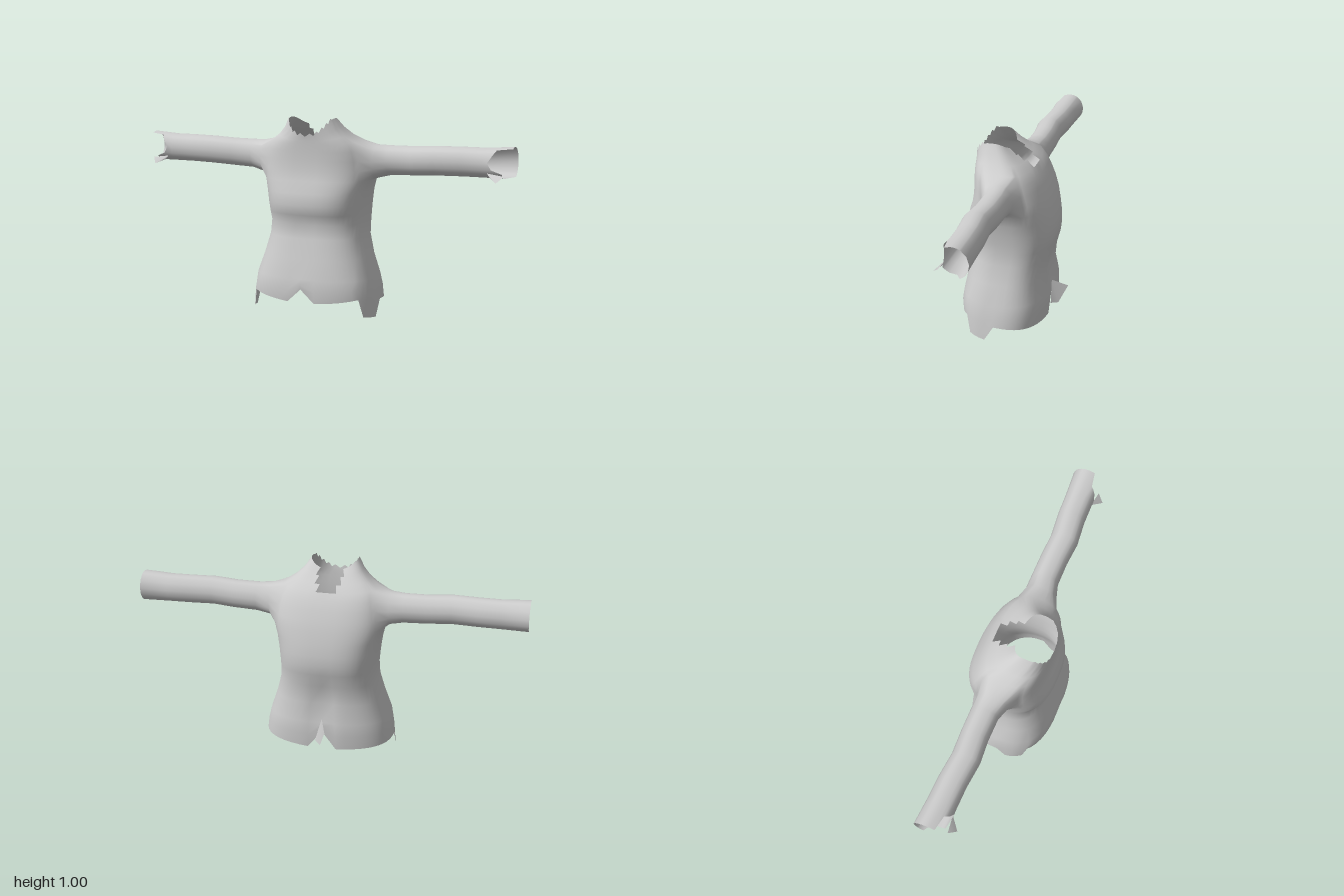
import * as THREE from 'three';

const COLS = 48, EXP = 0.75;

// torso rings, hem to neck: y front, y side, y back, half width, z front, z side, z back
const RINGS = [
  [0.07, 0.07, 0.07, 0.338, 0.258, 0.03, -0.19],
  [0.14, 0.14, 0.14, 0.33, 0.263, 0.03, -0.195],
  [0.2, 0.2, 0.2, 0.315, 0.255, 0.03, -0.195],
  [0.3, 0.3, 0.3, 0.28, 0.235, 0.02, -0.178],
  [0.4, 0.4, 0.4, 0.253, 0.21, 0.01, -0.19],
  [0.47, 0.47, 0.47, 0.25, 0.2, 0, -0.209],
  [0.52, 0.52, 0.52, 0.253, 0.224, 0, -0.215],
  [0.57, 0.57, 0.57, 0.258, 0.235, 0, -0.213],
  [0.63, 0.63, 0.63, 0.268, 0.228, 0, -0.203],
  [0.69, 0.69, 0.69, 0.285, 0.207, 0, -0.188],
  [0.74, 0.74, 0.74, 0.283, 0.198, 0, -0.172],
  [0.79, 0.79, 0.79, 0.277, 0.195, 0, -0.15],
  [0.835, 0.84, 0.83, 0.265, 0.195, 0.01, -0.13],
  [0.87, 0.885, 0.87, 0.24, 0.196, 0.015, -0.1],
  [0.89, 0.915, 0.9, 0.19, 0.197, 0.05, -0.06],
  [0.905, 0.955, 0.93, 0.15, 0.198, 0.08, -0.02],
  [0.915, 1.0, 0.955, 0.12, 0.2, 0.1, 0.02],
];
const HOLE_LOW = 9, HOLE_HIGH = 13, HOLE_HALF = 4;

// sleeve rings: x, centre y, radius y, centre z, radius z
const SLEEVE = [
  [0.31, 0.785, 0.085, 0.01, 0.082],
  [0.38, 0.792, 0.075, 0, 0.071],
  [0.5, 0.795, 0.073, 0, 0.07],
  [0.62, 0.802, 0.073, 0.008, 0.072],
  [0.75, 0.803, 0.073, -0.005, 0.072],
  [0.86, 0.803, 0.073, -0.008, 0.073],
  [1.0, 0.807, 0.078, -0.012, 0.078],
];

// torn hem height, by degrees from front centre to back centre
function hemHeight(deg) {
  if (deg < 4) return 0.15;
  if (deg < 54) return 0.078 + 0.0006 * deg;
  if (deg < 88) return 0.02 - 0.018 * (deg - 54) / 34;
  if (deg > 176) return 0.15;
  return 0.088 - 0.03 * (deg - 88) / 88;
}

// torn cuff end, by direction around the arm (up and forward components)
function cuffX(up, forward) {
  if (forward > 0.45 && up > -0.45) return 0.885 + 0.05 * Math.abs(up);
  if (up <= -0.45 && forward > -0.2) return 0.955;
  return 1.0;
}

function buildShirt() {
  const pos = [], index = [];
  const add = (x, y, z) => pos.push(x, y, z) / 3 - 1;
  const quad = (a, b, c, d) => index.push(a, b, c, a, c, d);
  const id = (r, c) => r * COLS + (c + COLS) % COLS;

  // torso vertices
  RINGS.forEach(([yf, ys, yb, w, zf, zs, zb], r) => {
    for (let c = 0; c < COLS; c++) {
      const t = c / COLS * Math.PI * 2, s = Math.sin(t), k = Math.cos(t);
      const deg = Math.min(c, COLS - c) * 360 / COLS;
      const x = Math.sign(s) * w * Math.abs(s) ** EXP;
      let z = zs + ((k > 0 ? zf : zb) - zs) * Math.abs(k) ** EXP;
      let y = ys + ((k > 0 ? yf : yb) - ys) * k * k;
      if (r === 0) y = hemHeight(deg);
      if (r === 1) y = (0.2 + hemHeight(deg)) / 2;
      // furrow down the lower back
      if (k < 0) z += 0.02 * Math.exp(-((x / 0.05) ** 2) - ((y - 0.27) / 0.12) ** 2);
      // ragged neckline
      if (r === RINGS.length - 1 && k > 0.3) y += c % 2 ? 0.012 : -0.004;
      add(x, y, z);
    }
  });

  // torso faces, leaving the armholes and the notch in the back of the neck open
  const top = RINGS.length - 1;
  for (let r = 0; r < top; r++) {
    for (let c = 0; c < COLS; c++) {
      const inHole = [12, 36].some(m => c >= m - HOLE_HALF && c < m + HOLE_HALF);
      if (inHole && r >= HOLE_LOW && r < HOLE_HIGH) continue;
      const notch = r === top - 1 ? 3 : r === top - 2 ? 2 : r === top - 3 ? 1 : 0;
      if (c >= 24 - notch && c < 24 + notch) continue;
      quad(id(r, c), id(r, c + 1), id(r + 1, c + 1), id(r + 1, c));
    }
  }

  // sleeves growing from the armhole edges
  for (const [mid, side] of [[12, 1], [36, -1]]) {
    const a = mid - HOLE_HALF, b = mid + HOLE_HALF;
    let loop = [];
    for (let c = a; c < b; c++) loop.push(id(HOLE_LOW, c));
    for (let r = HOLE_LOW; r < HOLE_HIGH; r++) loop.push(id(r, b));
    for (let c = b; c > a; c--) loop.push(id(HOLE_HIGH, c));
    for (let r = HOLE_HIGH; r > HOLE_LOW; r--) loop.push(id(r, a));
    const angles = loop.map(i => Math.atan2(pos[i * 3 + 1] - 0.787, pos[i * 3 + 2] - 0.008));
    SLEEVE.forEach(([x, cy, ry, cz, rz], k) => {
      const next = angles.map(t => {
        const up = Math.sin(t), fw = Math.cos(t);
        const end = k === SLEEVE.length - 1 ? cuffX(up, fw) : x;
        return add(side * end, cy + ry * up, cz + rz * fw);
      });
      loop.forEach((p, i) => {
        const j = (i + 1) % loop.length;
        quad(p, loop[j], next[j], next[i]);
      });
      loop = next;
    });
  }
  return makeGeometry(pos, index);
}

function makeGeometry(pos, index) {
  const g = new THREE.BufferGeometry();
  g.setAttribute('position', new THREE.Float32BufferAttribute(pos, 3));
  g.setIndex(index);
  g.computeVertexNormals();
  return g;
}

export function createModel() {
  const group = new THREE.Group();
  group.name = 'tornShirt';
  const cloth = new THREE.MeshStandardMaterial({ color: 0xcccccc, side: THREE.DoubleSide });
  cloth.name = 'greyCloth';

  const shirt = new THREE.Mesh(buildShirt(), cloth);
  shirt.name = 'torsoAndSleeves';
  group.add(shirt);

  // torn flap sticking out of the back hem
  const flap = new THREE.Mesh(makeGeometry(
    [0, 0.22, -0.185, -0.035, 0.18, -0.265, 0.0, 0.09, -0.222, 0.035, 0.1, -0.19],
    [0, 2, 1, 0, 3, 2]), cloth);
  flap.name = 'backHemFlap';
  group.add(flap);

  // torn scraps hanging at the front of each cuff
  for (const s of [-1, 1]) {
    const scrap = new THREE.Mesh(makeGeometry(
      [s * 0.885, 0.76, 0.055, s * 0.97, 0.75, 0.065, s * 0.94, 0.72, 0.1, s * 0.9, 0.74, 0.06],
      [0, 3, 2, 0, 2, 1]), cloth);
    scrap.name = s > 0 ? 'leftCuffScrap' : 'rightCuffScrap';
    group.add(scrap);
  }
  return group;
}
